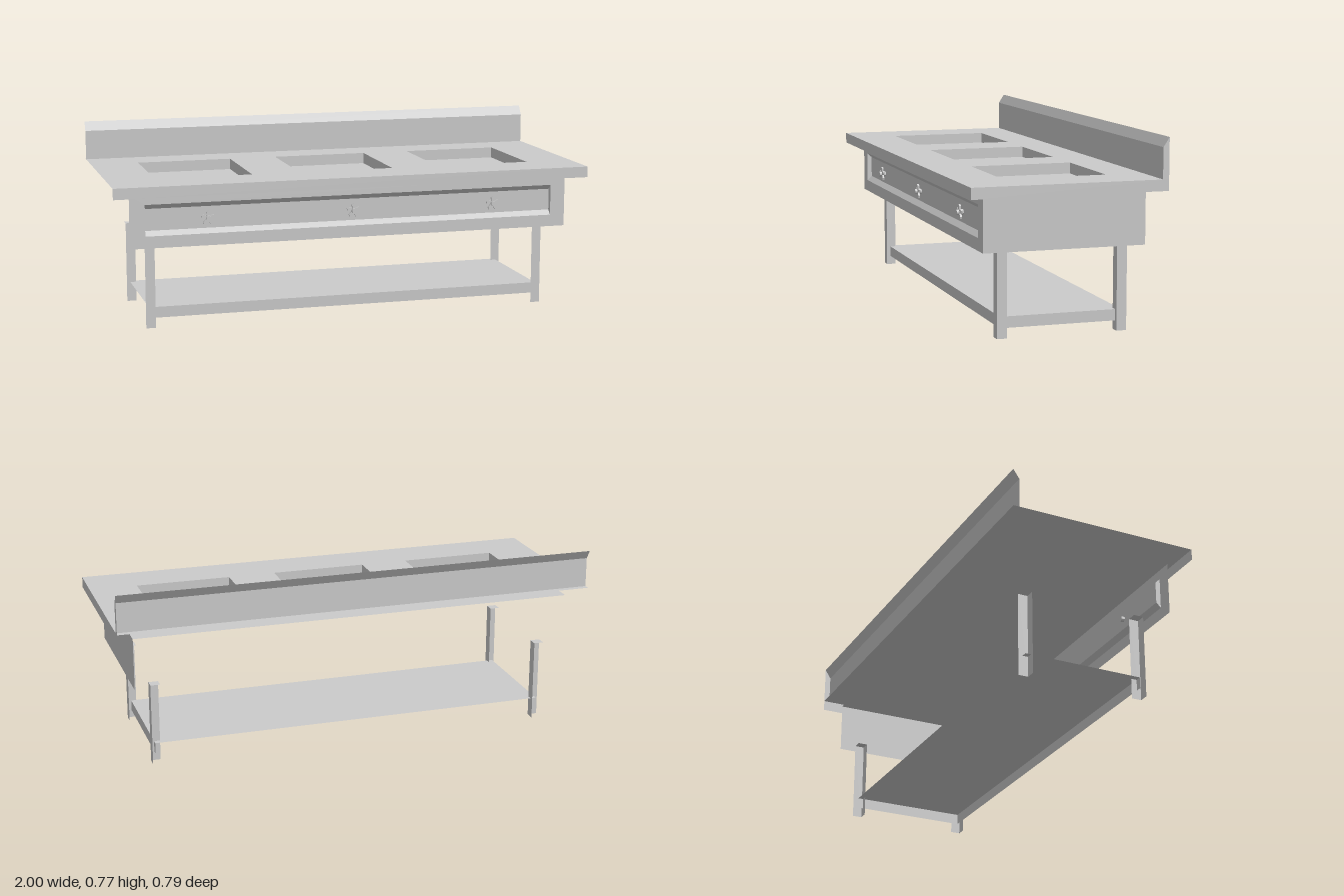
import * as THREE from 'three';

const mat = new THREE.MeshStandardMaterial({ color: 0xcccccc, side: THREE.DoubleSide, flatShading: true });

function add(parent, name, geometry) {
  const mesh = new THREE.Mesh(geometry, mat);
  mesh.name = name;
  parent.add(mesh);
  return mesh;
}

function group(parent, name) {
  const g = new THREE.Group();
  g.name = name;
  parent.add(g);
  return g;
}

// Four-cornered sheet, corners counter-clockwise from its outside
function quad(parent, name, a, b, c, d) {
  const geo = new THREE.BufferGeometry();
  geo.setAttribute('position', new THREE.Float32BufferAttribute([...a, ...b, ...c, ...d], 3));
  geo.setIndex([0, 1, 2, 0, 2, 3]);
  geo.computeVertexNormals();
  return add(parent, name, geo);
}

// Sheets facing +z, +x and +y
const frontSheet = (p, name, x0, x1, y0, y1, z) =>
  quad(p, name, [x0, y0, z], [x1, y0, z], [x1, y1, z], [x0, y1, z]);
const sideSheet = (p, name, x, y0, y1, z0, z1) =>
  quad(p, name, [x, y0, z1], [x, y0, z0], [x, y1, z0], [x, y1, z1]);
const topSheet = (p, name, x0, x1, y, z0, z1) =>
  quad(p, name, [x0, y, z1], [x1, y, z1], [x1, y, z0], [x0, y, z0]);

function rect(Type, x0, x1, y0, y1) {
  return new Type([[x0, y0], [x1, y0], [x1, y1], [x0, y1]].map(([x, y]) => new THREE.Vector2(x, y)));
}

export function createModel() {
  const model = new THREE.Group();
  model.name = 'servingTable';

  // Countertop with three square wells
  const counter = group(model, 'countertop');
  const top = 0.607, under = 0.562, front = 0.394, back = -0.392;
  const wellBack = -0.215, wellFront = 0.207;
  const slab = rect(THREE.Shape, -1, 1, -front, -back);
  for (const x of [-0.6, 0, 0.6]) {
    const x0 = x - 0.2, x1 = x + 0.2;
    slab.holes.push(rect(THREE.Path, x0, x1, -wellFront, -wellBack));
    const well = group(counter, 'wellWalls');
    frontSheet(well, 'wellBack', x0, x1, under, top, wellBack);
    frontSheet(well, 'wellFront', x1, x0, under, top, wellFront);
    sideSheet(well, 'wellRight', x0, under, top, wellBack, wellFront);
    sideSheet(well, 'wellLeft', x1, under, top, wellFront, wellBack);
  }
  add(counter, 'counterSurface', new THREE.ShapeGeometry(slab).rotateX(-Math.PI / 2)).position.y = top;
  frontSheet(counter, 'counterFrontEdge', -1, 1, under, top, front);
  sideSheet(counter, 'counterLeftEdge', 1, under, top, back, front);

  // Backsplash with a slanted top, open behind
  const splash = group(model, 'backsplash');
  const sz = -0.367, sy = 0.73, peak = 0.768;
  frontSheet(splash, 'splashFront', -1, 1, top, sy, sz);
  quad(splash, 'splashSlope', [-1, sy, sz], [1, sy, sz], [1, peak, back], [-1, peak, back]);
  quad(splash, 'splashEnd', [1, top, sz], [1, top, back], [1, peak, back], [1, sy, sz]);

  // Cabinet: top sheet floors the wells, front board frames the drawer
  const cabinet = group(model, 'cabinet');
  const bx = 0.927, bz = 0.325, by = 0.347;
  topSheet(cabinet, 'cabinetTop', -bx, bx, under, -0.328, bz);
  sideSheet(cabinet, 'cabinetSide', bx, by, under, -0.328, bz);
  const dx = 0.864, d0 = 0.396, d1 = 0.524, p0 = 0.415, p1 = 0.504, dz = 0.305;
  const board = rect(THREE.Shape, -bx, bx, by, under);
  board.holes.push(rect(THREE.Path, -dx, dx, d0, d1));
  add(cabinet, 'frontBoard', new THREE.ShapeGeometry(board)).position.z = bz;

  // Drawer front sunk between sloping ledges
  const drawer = group(model, 'drawer');
  frontSheet(drawer, 'drawerFront', -dx, dx, p0, p1, dz);
  quad(drawer, 'lowerLedge', [-dx, d0, bz], [dx, d0, bz], [dx, p0, dz], [-dx, p0, dz]);
  quad(drawer, 'upperLedge', [-dx, p1, dz], [dx, p1, dz], [dx, d1, bz], [-dx, d1, bz]);
  for (const s of [-1, 1]) {
    quad(drawer, 'drawerEnd', [s * dx, d0, bz], [s * dx, p0, dz], [s * dx, p1, dz], [s * dx, d1, bz]);
  }

  // Flower-shaped knobs
  const flower = new THREE.Shape();
  for (let i = 0; i < 20; i++) {
    const a = Math.PI / 2 + (i / 20) * Math.PI * 2;
    const r = [0.031, 0.026, 0.012, 0.026][i % 4];
    flower[i ? 'lineTo' : 'moveTo'](Math.cos(a) * r, Math.sin(a) * r);
  }
  const petals = new THREE.ExtrudeGeometry(flower, { depth: 0.008, bevelEnabled: false });
  const stem = new THREE.CylinderGeometry(0.011, 0.011, 0.043, 10).rotateX(Math.PI / 2);
  for (const x of [-0.607, 0, 0.607]) {
    const knob = group(drawer, 'knob');
    knob.position.set(x, 0.457, 0);
    add(knob, 'knobPetals', petals).position.z = 0.315;
    add(knob, 'knobStem', stem).position.z = 0.3115;
  }

  // Legs: angle sections with a cap, open behind
  const legTop = 0.342;
  for (const [z0, z1] of [[0.206, 0.247], [-0.283, -0.242]]) {
    for (const x0 of [-0.855, 0.815]) {
      const leg = group(model, 'leg');
      frontSheet(leg, 'legFront', x0, x0 + 0.04, 0, legTop, z1);
      sideSheet(leg, 'legSide', x0 + 0.04, 0, legTop, z0, z1);
      topSheet(leg, 'legCap', x0, x0 + 0.04, legTop, z0, z1);
    }
  }

  // Lower shelf with front and side rails
  const shelf = group(model, 'shelf');
  topSheet(shelf, 'shelfTop', -0.84, 0.84, 0.083, -0.265, 0.23);
  frontSheet(shelf, 'shelfFrontRail', -0.84, 0.84, 0.038, 0.083, 0.23);
  sideSheet(shelf, 'shelfSideRail', 0.84, 0.038, 0.083, -0.265, 0.23);

  return model;
}
